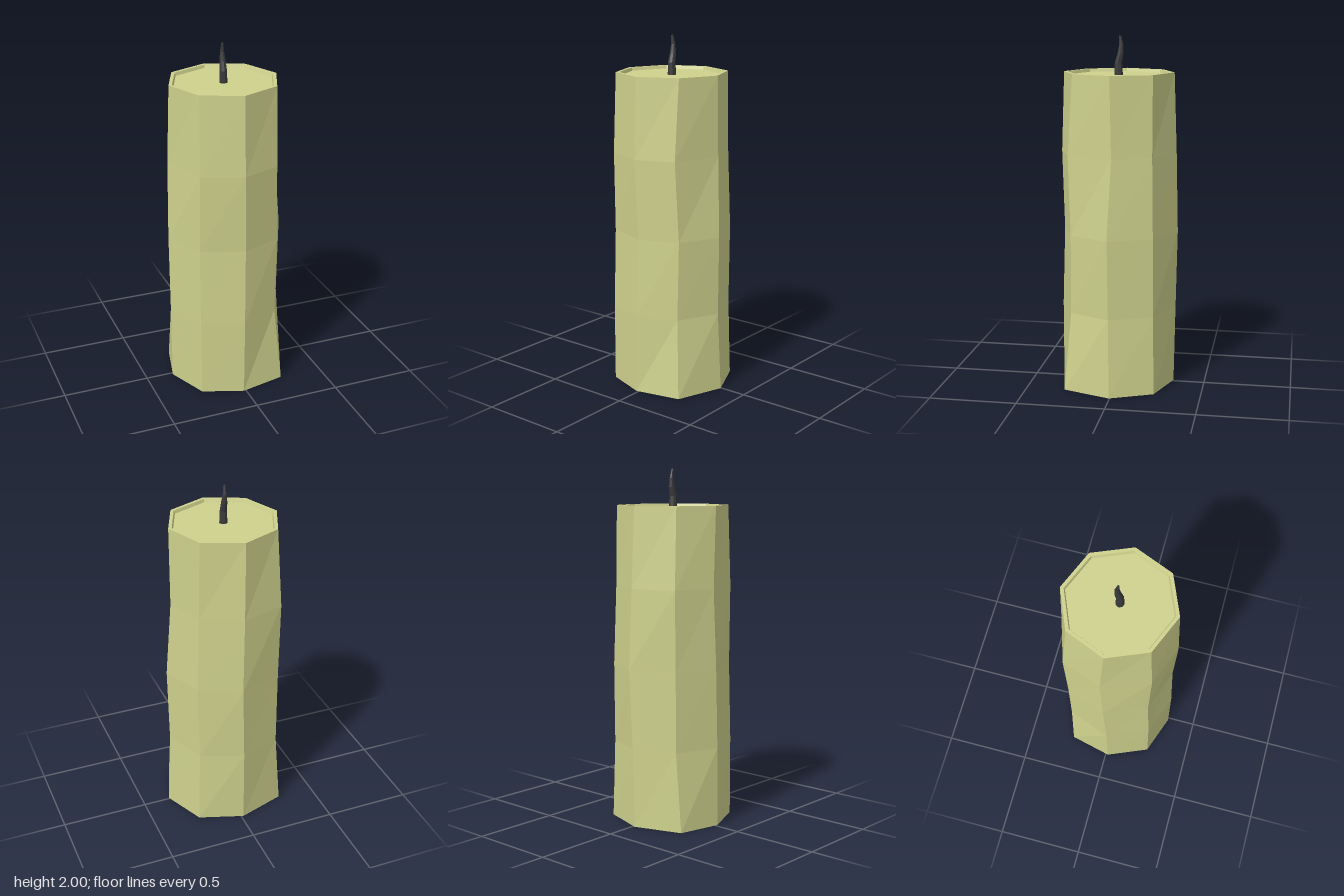
import * as THREE from 'three';

const SIDES = 8;
const CX = -0.013, CZ = 0.005;

// Regular ring of points around (x, z) at height y
function ring(y, r, x = CX, z = CZ) {
  return Array.from({ length: SIDES }, (_, i) => {
    const a = (i / SIDES) * Math.PI * 2;
    return [x + r * Math.cos(a), y, z + r * Math.sin(a)];
  });
}

// Skin a stack of rings with flat facets and close both ends
function loft(rings, color, name) {
  const pos = [];
  const tri = (a, b, c) => pos.push(...a, ...b, ...c);
  const centre = (r) => [0, 1, 2].map((k) => r.reduce((s, p) => s + p[k], 0) / SIDES);
  const first = rings[0], last = rings[rings.length - 1];
  const c0 = centre(first), c1 = centre(last);
  for (let i = 0; i < SIDES; i++) {
    const j = (i + 1) % SIDES;
    for (let k = 0; k < rings.length - 1; k++) {
      const lo = rings[k], hi = rings[k + 1];
      tri(lo[i], hi[i], lo[j]);
      tri(lo[j], hi[i], hi[j]);
    }
    tri(c0, first[i], first[j]);
    tri(c1, last[j], last[i]);
  }
  const geo = new THREE.BufferGeometry();
  geo.setAttribute('position', new THREE.Float32BufferAttribute(pos, 3));
  geo.computeVertexNormals();
  const mesh = new THREE.Mesh(geo, new THREE.MeshStandardMaterial({ color, flatShading: true }));
  mesh.name = name;
  return mesh;
}

// Uneven wax cross-sections as [x, z], starting at +x and turning towards +z
const waxSections = [
  [[0.343, 0.005], [0.247, 0.278], [-0.013, 0.335], [-0.243, 0.253],
    [-0.343, 0.015], [-0.285, -0.23], [-0.013, -0.32], [0.237, -0.235]],
  [[0.323, 0.012], [0.212, 0.243], [-0.01, 0.335], [-0.245, 0.25],
    [-0.344, 0.01], [-0.25, -0.235], [-0.01, -0.328], [0.225, -0.228]],
  [[0.33, 0.017], [0.22, 0.24], [-0.003, 0.32], [-0.243, 0.235],
    [-0.344, -0.005], [-0.25, -0.238], [0.005, -0.338], [0.232, -0.225]],
  [[0.303, -0.004], [0.205, 0.257], [-0.013, 0.335], [-0.24, 0.245],
    [-0.335, -0.02], [-0.253, -0.248], [-0.005, -0.326], [0.218, -0.217]],
];

export function createModel() {
  const group = new THREE.Group();
  group.name = 'candle';

  // Wax body, then the rim folding in to a shallow recessed top
  const body = waxSections.map((s, k) => s.map(([x, z]) => [x, k * 0.45, z]));
  body.push(ring(1.8, 0.314), ring(1.8, 0.294), ring(1.782, 0.288));
  group.add(loft(body, 0xced18c, 'waxBody'));

  // Bent, tapering wick: height, radius, x, z
  const wick = [
    [1.775, 0.024, -0.013, 0.006],
    [1.85, 0.021, -0.014, 0.008],
    [1.9, 0.018, -0.014, -0.004],
    [1.95, 0.012, -0.015, -0.008],
    [2.0, 0.006, -0.016, -0.001],
  ].map((p) => ring(...p));
  group.add(loft(wick, 0x3a3a3c, 'wick'));

  return group;
}
